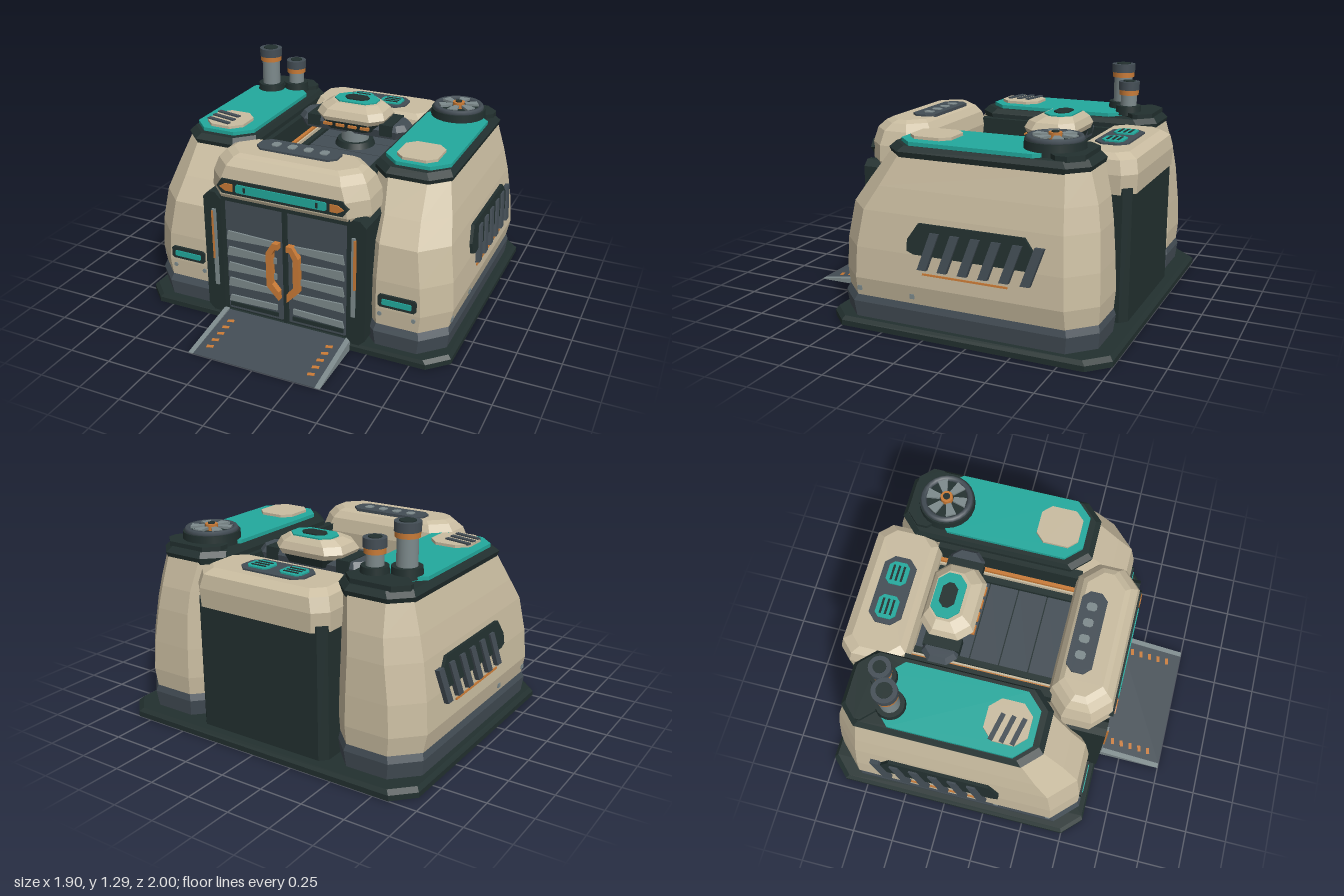
import * as THREE from 'three';

const mat = (name, color) => {
  const m = new THREE.MeshStandardMaterial({ color });
  m.name = name;
  return m;
};

export function createModel() {
  const root = new THREE.Group();
  root.name = 'building';
  const beige = mat('sand', 0xc9bca0), dark = mat('charcoal', 0x22302f), slate = mat('slate', 0x434d55);
  const grey = mat('light grey', 0x7d8a8c), teal = mat('teal', 0x22a99d), orange = mat('orange', 0xc87a36);

  const add = (name, geo, m, parent = root) => {
    const mesh = new THREE.Mesh(geo, m);
    mesh.name = name;
    parent.add(mesh);
    return mesh;
  };
  const box = (name, m, w, h, d, x, y, z, parent) => {
    const mesh = add(name, new THREE.BoxGeometry(w, h, d), m, parent);
    mesh.position.set(x, y, z);
    return mesh;
  };
  const cyl = (name, m, r0, r1, y0, y1, x, z, parent, n = 20) => {
    const mesh = add(name, new THREE.CylinderGeometry(r1, r0, y1 - y0, n), m, parent);
    mesh.position.set(x, (y0 + y1) / 2, z);
    return mesh;
  };
  // Rectangle with cut corners
  const oct = (x0, x1, y0, y1, c) => [
    [x0 + c, y0], [x1 - c, y0], [x1, y0 + c], [x1, y1 - c],
    [x1 - c, y1], [x0 + c, y1], [x0, y1 - c], [x0, y0 + c]];
  // Skin through horizontal cut-corner rings: [y, x0, x1, z0, z1, corner]
  const loft = (name, m, levels, parent) => {
    const rings = levels.map(([y, x0, x1, z0, z1, c]) =>
      oct(x0, x1, -z1, -z0, c).map(p => [p[0], y, -p[1]]));
    const v = [], tri = (...ps) => ps.forEach(p => v.push(...p));
    for (let k = 0; k + 1 < rings.length; k++) for (let i = 0; i < 8; i++) {
      const j = (i + 1) % 8, a = rings[k], b = rings[k + 1];
      tri(a[i], a[j], b[j]);
      tri(a[i], b[j], b[i]);
    }
    const bot = rings[0], top = rings[rings.length - 1];
    for (let i = 1; i < 7; i++) {
      tri(top[0], top[i], top[i + 1]);
      tri(bot[0], bot[i + 1], bot[i]);
    }
    const g = new THREE.BufferGeometry();
    g.setAttribute('position', new THREE.Float32BufferAttribute(v, 3));
    g.computeVertexNormals();
    return add(name, g, m, parent);
  };
  const extrude = (pts, depth, hole) => {
    const s = new THREE.Shape(pts.map(p => new THREE.Vector2(...p)));
    if (hole) s.holes.push(new THREE.Path(hole.map(p => new THREE.Vector2(...p))));
    return new THREE.ExtrudeGeometry(s, { depth, bevelEnabled: false });
  };
  // Plate facing forward, and plate lying flat
  const plate = (name, m, pts, z, d, parent, hole) => {
    const mesh = add(name, extrude(pts, d, hole), m, parent);
    mesh.position.z = z;
    return mesh;
  };
  const flat = (name, m, x0, x1, z0, z1, c, y, d, parent, hole) => {
    const g = extrude(oct(x0, x1, -z1, -z0, c), d, hole);
    g.rotateX(-Math.PI / 2);
    const mesh = add(name, g, m, parent);
    mesh.position.y = y;
    return mesh;
  };

  // Foundation
  loft('base', dark, [[0, -.95, .95, -1, .61, .11], [.03, -.95, .95, -1, .61, .11], [.05, -.93, .93, -.98, .6, .11]]);

  // Side pods
  for (const s of [1, -1]) {
    const pod = new THREE.Group();
    pod.name = s > 0 ? 'leftPod' : 'rightPod';
    root.add(pod);
    const ring = (y, xi, xo, z0, z1, c) => s > 0 ? [y, xi, xo, z0, z1, c] : [y, -xo, -xi, z0, z1, c];
    loft('skirt', slate, [ring(.045, .4, .9, -.9, .56, .13), ring(.14, .39, .912, -.91, .57, .13), ring(.18, .4, .9, -.9, .55, .13)], pod);
    loft('shell', beige, [
      ring(.17, .4, .9, -.9, .55, .13), ring(.28, .385, .922, -.908, .555, .14), ring(.45, .385, .91, -.9, .55, .14),
      ring(.65, .385, .88, -.885, .52, .14), ring(.78, .385, .85, -.865, .43, .13), ring(.94, .385, .805, -.82, .31, .1)], pod);
    loft('roofFrame', dark, [ring(.93, .37, .805, -.815, .3, .1), ring(.965, .37, .815, -.825, .31, .1), ring(.995, .385, .79, -.8, .28, .1)], pod);
    const [a, b] = s > 0 ? [.41, .785] : [-.785, -.41];
    flat('roofPanel', teal, a, b, -.63, .245, .09, .99, .026, pod);
    flat('rearRoofPlate', dark, a, b, -.79, s > 0 ? -.59 : -.62, .07, .99, .03, pod);

    // Front marker light and bolts
    const lx = s * .65;
    plate('lightHousing', dark, oct(lx - .11, lx + .11, .3, .375, .012), .54, .025, pod);
    plate('markerLight', teal, oct(lx - .085, lx + .085, .318, .352, .005), .565, .006, pod);
    for (const x of [.55, .745]) {
      const bolt = cyl('bolt', grey, .013, .013, -.01, .01, 0, 0, pod, 8);
      bolt.rotation.x = Math.PI / 2;
      bolt.position.set(s * x, .25, .55);
    }
    for (const z of [.4, .08]) box('sideBolt', grey, .014, .026, .026, s * .91, .22, z, pod);

    // Side vent, tilted with the wall
    const side = new THREE.Group(), vent = new THREE.Group();
    side.name = 'ventSide';
    vent.name = 'sideVent';
    side.rotation.y = s * Math.PI / 2;
    vent.position.set(0, .46, .9);
    vent.rotation.x = -.13;
    side.add(vent);
    pod.add(side);
    const side2D = pts => pts.map(([z, y]) => [-s * z, y - .46]);
    plate('ventHood', dark, side2D([[.1, .47], [.1, .53], [.04, .62], [-.55, .62], [-.62, .53], [-.62, .47], [-.58, .455], [.06, .455]]), 0, .025, vent);
    for (let i = 0; i < 6; i++) {
      const z = .03 - i * .115;
      plate('ventSlat', slate, side2D([[z, .38], [z - .05, .38], [z - .115, .58], [z - .065, .58]]), .01, .026, vent);
    }
    plate('ventStripe', orange, side2D([[.01, .35], [.01, .36], [-.47, .36], [-.47, .35]]), .006, .008, vent);
  }

  // Front gate
  const gate = new THREE.Group();
  gate.name = 'gate';
  root.add(gate);
  box('gateBody', dark, .9, .76, .27, 0, .43, .435, gate);
  loft('frontArch', beige, [
    [.78, -.46, .46, .28, .6, .08], [.81, -.48, .48, .26, .615, .1], [.9, -.47, .47, .25, .62, .1],
    [.98, -.44, .44, .265, .605, .1], [1.02, -.405, .405, .295, .565, .09], [1.037, -.37, .37, .32, .535, .08]], gate);
  for (const s of [1, -1]) {
    const column = oct(.38, .49, .05, .81, .035).map(([x, y]) => [s * x, y]);
    plate('gateColumn', dark, column, .36, .255, gate);
    box('columnGuide', grey, .022, .48, .02, s * .422, .47, .617, gate);
    box('columnLight', orange, .012, .3, .022, s * .43, .55, .619, gate);
    // Door leaf with slats
    const door = new THREE.Group();
    door.name = s > 0 ? 'leftDoor' : 'rightDoor';
    gate.add(door);
    box('doorPanel', slate, .345, .69, .025, s * .193, .42, .58, door);
    box('doorSill', dark, .31, .025, .02, s * .2, .105, .59, door);
    for (let i = 0; i < 5; i++) {
      const y = .125 + i * .1, tip = i === 0 ? .03 : 0;
      const slat = [[.05, y + .01], [.36, y], [.35, y + .055 - tip / 2], [.05, y + .045]].map(p => [s * p[0], p[1]]);
      plate('doorSlat', grey, slat, .585, .018, door);
    }
    plate('doorHandle', orange, [[.025, .22], [.1, .3], [.1, .51], [.06, .575], [.025, .575], [.025, .54], [.045, .54], [.065, .5], [.065, .32], [.025, .275]]
      .map(p => [s * p[0], p[1]]), .59, .04, door);
  }
  box('doorTopRail', dark, .78, .035, .03, 0, .785, .59, gate);
  box('doorSeam', dark, .02, .71, .03, 0, .42, .585, gate);

  // Light bar over the gate
  plate('lightBarHousing', dark, [[-.39, .865], [-.36, .825], [.36, .825], [.39, .865], [.36, .91], [-.36, .91]], .59, .04, gate);
  plate('lightBar', teal, oct(-.27, .27, .843, .892, .008), .63, .007, gate);
  for (const s of [1, -1]) {
    plate('barEndLight', orange, [[.29, .845], [.335, .845], [.37, .866], [.335, .888], [.29, .888]].map(p => [s * p[0], p[1]]), .63, .007, gate);
    box('barDivider', dark, .012, .03, .004, s * .215, .867, .638, gate);
  }
  flat('frontRoofPlate', slate, -.25, .235, .31, .455, .04, 1.03, .018, gate);
  for (let i = 0; i < 4; i++) {
    const x = -.148 + i * .097;
    flat('roofLamp', grey, x - .024, x + .024, .347, .405, .012, 1.047, .006, gate);
  }

  // Rear block
  const rear = new THREE.Group();
  rear.name = 'rearBlock';
  root.add(rear);
  loft('rearWall', dark, [[.045, -.42, .42, -.935, -.5, .04], [.79, -.42, .42, -.935, -.5, .04]], rear);
  loft('rearArch', beige, [
    [.755, -.425, .425, -.95, -.56, .07], [.86, -.43, .43, -.955, -.56, .07],
    [.935, -.41, .41, -.94, -.575, .07], [.965, -.37, .37, -.89, -.61, .06]], rear);
  flat('rearRoofPlate', slate, -.21, .205, -.84, -.65, .05, .96, .014, rear);
  for (const x of [-.11, .1]) {
    flat('rearVent', teal, x - .07, x + .07, -.805, -.685, .025, .974, .008, rear);
    for (const z of [-.775, -.745, -.715]) box('rearVentSlot', dark, .095, .004, .012, x, .983, z, rear);
  }

  // Central well
  const well = new THREE.Group();
  well.name = 'centralWell';
  root.add(well);
  box('wellBody', dark, .78, .74, .9, 0, .42, -.15, well);
  for (let i = 0; i < 5; i++) box('floorPanel', slate, .48, .02, .165, 0, .795, .19 - i * .172, well);
  for (const s of [1, -1]) {
    box('wellWall', dark, .055, .16, .85, s * .365, .86, -.15, well);
    box('wellCurb', dark, .035, .04, .85, s * .26, .8, -.15, well);
    box('rail', orange, .022, .03, .83, s * .312, .825, -.15, well);
    box('railTrim', beige, .01, .025, .83, s * .291, .82, -.15, well);
  }

  // Roof turret on a cross beam
  const turret = new THREE.Group();
  turret.name = 'turret';
  root.add(turret);
  cyl('neck', grey, .085, .085, .79, .93, 0, -.38, turret);
  cyl('neckCollar', dark, .13, .11, .79, .84, 0, -.38, turret);
  loft('crossBeam', slate, [[.9, -.33, .33, -.48, -.3, .04], [.95, -.355, .355, -.49, -.285, .05], [.985, -.33, .33, -.47, -.305, .04]], turret);
  box('beamBand', dark, .08, .07, .21, .235, .955, -.385, turret);
  box('beamBand', dark, .08, .07, .21, -.235, .955, -.385, turret);
  loft('underside', dark, [[.93, -.17, .17, -.5, -.255, .06], [.985, -.19, .19, -.52, -.235, .06]], turret);
  for (let i = 0; i < 4; i++) box('warningDash', orange, .055, .016, .02, -.12 + i * .08, .965, -.238, turret);
  loft('turretShell', beige, [
    [.98, -.205, .205, -.525, -.24, .07], [1.01, -.22, .22, -.535, -.23, .07],
    [1.05, -.2, .2, -.52, -.25, .07], [1.08, -.15, .15, -.495, -.305, .055]], turret);
  flat('turretPanel', teal, -.135, .135, -.49, -.325, .05, 1.078, .01, turret);
  flat('turretHatch', dark, -.075, .075, -.452, -.365, .03, 1.088, .007, turret);

  // Exhaust stacks
  for (const [x, z, r, top] of [[-.665, -.55, .056, 1.29], [-.525, -.63, .048, 1.205]]) {
    const stack = new THREE.Group();
    stack.name = 'exhaustStack';
    root.add(stack);
    cyl('stackFoot', dark, r + .03, r + .025, 1, 1.055, x, z, stack);
    cyl('stackPipe', grey, r, r, 1.04, top - .08, x, z, stack);
    cyl('stackRing', orange, r + .01, r + .01, top - .085, top - .05, x, z, stack);
    cyl('stackCap', slate, r + .014, r + .014, top - .055, top - .005, x, z, stack);
    cyl('stackMouth', dark, r - .012, r - .012, top - .01, top, x, z, stack);
  }

  // Roof fan
  const fan = new THREE.Group();
  fan.name = 'fan';
  fan.position.set(.587, 0, -.585);
  root.add(fan);
  cyl('fanBase', dark, .165, .16, .99, 1.06, 0, 0, fan, 24);
  const rim = add('fanRim', new THREE.TorusGeometry(.135, .018, 6, 24), slate, fan);
  rim.rotation.x = Math.PI / 2;
  rim.position.y = 1.066;
  for (let i = 0; i < 6; i++) {
    const blade = add('fanBlade', extrude([[.04, -.014], [.115, -.035], [.115, .025], [.04, .014]], .014), grey, fan);
    blade.rotation.set(-Math.PI / 2, 0, i * Math.PI / 3 + .52);
    blade.position.y = 1.07;
  }
  cyl('fanHub', orange, .036, .036, 1.06, 1.095, 0, 0, fan, 12);
  cyl('hubCap', dark, .02, .02, 1.09, 1.102, 0, 0, fan, 12);

  // Roof badges
  flat('plainBadge', beige, .475, .71, -.035, .21, .05, 1.014, .018);
  flat('ventBadge', beige, -.725, -.485, -.035, .21, .06, 1.014, .018);
  for (let i = 0; i < 3; i++) {
    const slot = box('badgeVent', slate, .16, .012, .026, -.645, 1.034, .035 + i * .06);
    slot.rotation.y = -.22;
  }

  // Entry ramp
  const ramp = new THREE.Group();
  ramp.name = 'ramp';
  root.add(ramp);
  const wedge = (name, m, x0, x1, h) => {
    const g = extrude([[-.59, 0], [-.59, h], [-1, .004], [-1, 0]], x1 - x0);
    g.rotateY(Math.PI / 2);
    add(name, g, m, ramp).position.x = x0;
  };
  wedge('rampDeck', slate, -.37, .37, .055);
  for (const s of [1, -1]) {
    wedge('rampEdge', grey, s > 0 ? .37 : -.4, s > 0 ? .4 : -.37, .065);
    for (let i = 0; i < 5; i++) {
      const z = .685 + i * .058;
      const dash = box('rampDash', orange, .04, .004, .02, s * .31, .0045 + (1 - z) * .1244, z, ramp);
      dash.rotation.set(.124, .25, 0);
    }
  }
  return root;
}
